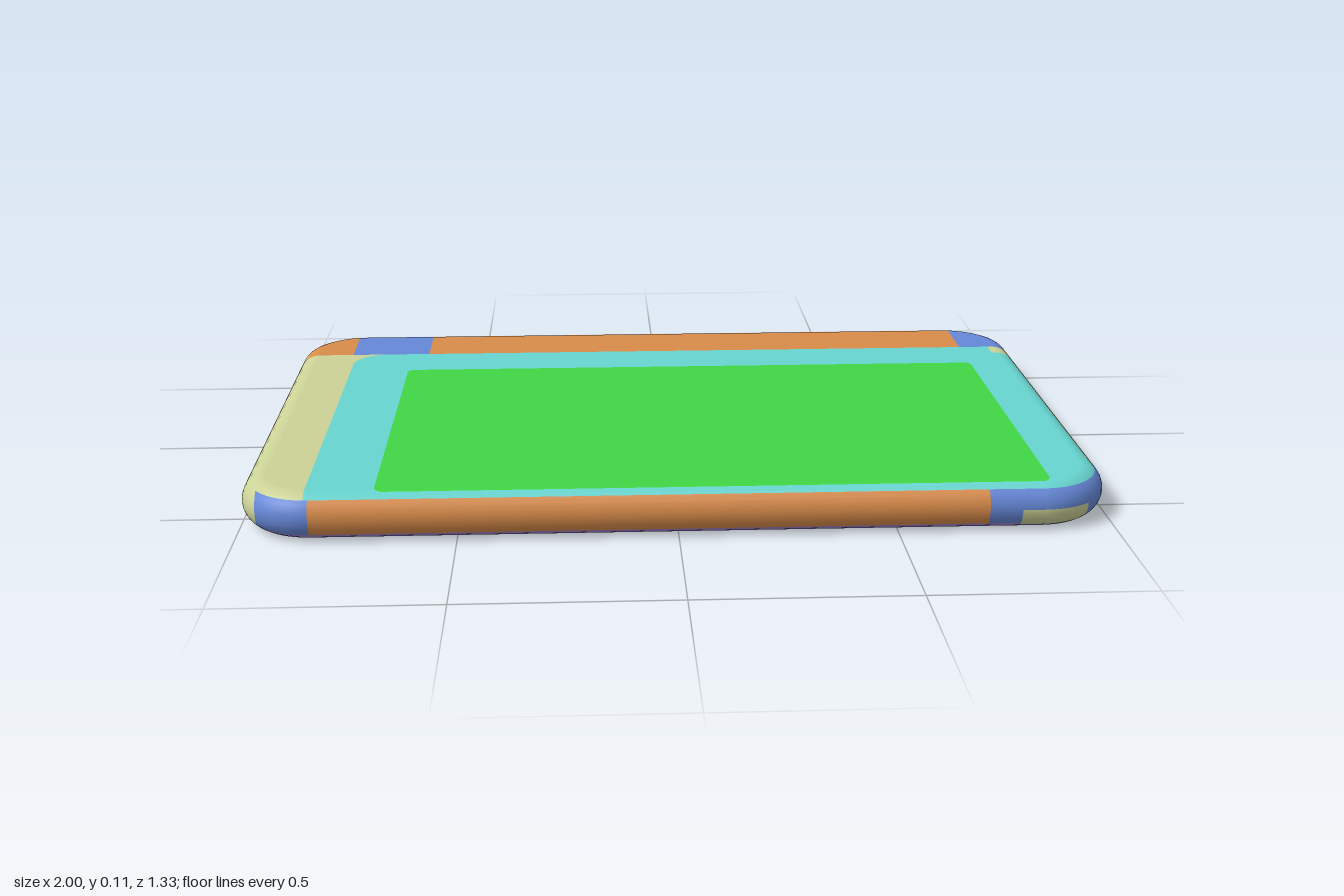
import * as THREE from 'three';

const HALF_X = 1, HALF_Z = 0.665, T = 0.112, r = T / 2; // slab size, rounded edge radius
const CORNER = 0.17;                                    // plan corner radius
const BIG = 2;

const mat = (name, color) => {
  const m = new THREE.MeshStandardMaterial({ color });
  m.name = name;
  return m;
};

// Outline of a rounded rectangle in x,z
function roundedRect(x0, x1, z0, z1, rad, n) {
  const pts = [];
  const corners = [[x1 - rad, z1 - rad], [x0 + rad, z1 - rad], [x0 + rad, z0 + rad], [x1 - rad, z0 + rad]];
  corners.forEach(([cx, cz], q) => {
    for (let i = 0; i <= n; i++) {
      const a = (q + i / n) * Math.PI / 2;
      pts.push({ cx, cz, dx: Math.cos(a), dz: Math.sin(a), x: cx + rad * Math.cos(a), z: cz + rad * Math.sin(a) });
    }
  });
  return pts;
}

// Planes [nx, ny, nz, d] bounding a colour zone; inside is n.p <= d
function zonePlanes([x0, x1, z0, z1, y0, y1], rad = 0) {
  const planes = [[1, 0, 0, x1], [-1, 0, 0, -x0], [0, 0, 1, z1], [0, 0, -1, -z0], [0, 1, 0, y1], [0, -1, 0, -y0]];
  if (rad) for (const p of roundedRect(x0, x1, z0, z1, rad, 8)) {
    planes.push([p.dx, 0, p.dz, p.dx * p.x + p.dz * p.z]);
  }
  return planes;
}

// Cut a convex polygon by a plane into [inside, outside]
function split(poly, [a, b, c, d]) {
  const inside = [], outside = [];
  const dist = poly.map(p => a * p.x + b * p.y + c * p.z - d);
  poly.forEach((p, i) => {
    const j = (i + 1) % poly.length;
    if (dist[i] <= 1e-7) inside.push(p);
    if (dist[i] >= -1e-7) outside.push(p);
    if ((dist[i] < -1e-7 && dist[j] > 1e-7) || (dist[i] > 1e-7 && dist[j] < -1e-7)) {
      const m = p.clone().lerp(poly[j], dist[i] / (dist[i] - dist[j]));
      inside.push(m);
      outside.push(m);
    }
  });
  const keep = (list, sign) => (list.length > 2 && dist.some(v => v * sign > 1e-7) ? list : null);
  return [keep(inside, -1) || (dist.every(v => Math.abs(v) <= 1e-7) ? poly : null), keep(outside, 1)];
}

// Smooth normal of the rounded slab at a point
function normalAt(p) {
  const ix = HALF_X - CORNER, iz = HALF_Z - CORNER;
  const qx = p.x - THREE.MathUtils.clamp(p.x, -ix, ix), qz = p.z - THREE.MathUtils.clamp(p.z, -iz, iz);
  const len = Math.hypot(qx, qz), out = Math.max(0, len - (CORNER - r));
  const k = len > 0 ? out / len : 0;
  return new THREE.Vector3(qx * k, p.y - r, qz * k).normalize();
}

// Convex faces of the slab: rounded rim bands and two flat caps
function slabFaces() {
  const loop = roundedRect(-HALF_X, HALF_X, -HALF_Z, HALF_Z, CORNER, 14);
  const steps = 14, faces = [], rings = [];
  for (let j = 0; j <= steps; j++) {
    const a = -Math.PI / 2 + Math.PI * j / steps;
    const rad = CORNER - r + r * Math.cos(a);
    rings.push(loop.map(p => new THREE.Vector3(p.cx + p.dx * rad, r + r * Math.sin(a), p.cz + p.dz * rad)));
  }
  for (let j = 0; j < steps; j++) loop.forEach((_, i) => {
    const k = (i + 1) % loop.length;
    faces.push([rings[j][i], rings[j + 1][i], rings[j + 1][k], rings[j][k]]);
  });
  faces.push(rings[0], rings[steps].slice().reverse());
  return faces;
}

function buildMesh(polys, name, material) {
  const pos = [], nor = [];
  for (const poly of polys) for (let i = 1; i < poly.length - 1; i++) {
    for (const p of [poly[0], poly[i], poly[i + 1]]) {
      pos.push(p.x, p.y, p.z);
      nor.push(...normalAt(p).toArray());
    }
  }
  const g = new THREE.BufferGeometry();
  g.setAttribute('position', new THREE.Float32BufferAttribute(pos, 3));
  g.setAttribute('normal', new THREE.Float32BufferAttribute(nor, 3));
  const mesh = new THREE.Mesh(g, material);
  mesh.name = name;
  return mesh;
}

export function createModel() {
  const green = mat('green', 0x40d645), cyan = mat('cyan', 0x68d5d0), khaki = mat('khaki', 0xcbd296);
  const orange = mat('orange', 0xd98c4a), blue = mat('blue', 0x6688d8);
  const maroon = mat('maroon', 0xc44688), purple = mat('purple', 0xa385d2);
  const LOW = 0.018, HIGH = 0.099;

  // Colour zones [x0, x1, z0, z1, y0, y1]; the first that holds a face wins
  const zones = [
    ['topPanel', green, [-0.685, 0.85, -0.295, 0.625, 0.1, BIG], 0.02],
    ['bottomPanel', maroon, [-0.85, 0.685, -0.4, 0.51, -BIG, 0.01], 0.01],
    // front corner spot
    ['frontCornerSpot', khaki, [0.78, 0.94, 0.6, BIG, 0.012, 0.055]],
    // underside bands
    ['bottomCornerBand', blue, [0.84, BIG, 0.37, BIG, -BIG, LOW]],
    ['bottomBorder', purple, [-BIG, 0.84, -0.495, BIG, -BIG, LOW], 0.08],
    ['bottomSideBand', khaki, [0.75, BIG, -BIG, 0.37, -BIG, LOW]],
    ['bottomBackBand', cyan, [-0.85, 0.75, -BIG, -0.4, -BIG, LOW]],
    ['bottomEdge', purple, [-BIG, BIG, -BIG, BIG, -BIG, LOW]],
    // right back corner
    ['backCornerSpot', khaki, [-0.95, -0.83, -BIG, -0.57, LOW, 0.092]],
    ['backRimMark', blue, [-0.83, -0.74, -BIG, -0.57, LOW, HIGH]],
    // top face
    ['topSideSpot', khaki, [0.93, BIG, -0.445, -0.385, 0.097, BIG]],
    ['topBackMark', blue, [-0.85, -0.64, -0.65, -0.445, 0.06, BIG]],
    ['topBackCorner', blue, [0.85, BIG, -BIG, -0.445, 0.097, BIG]],
    ['topBackStrip', orange, [-BIG, 0.85, -BIG, -0.445, HIGH, BIG]],
    ['topBorder', cyan, [-0.84, BIG, -0.445, BIG, HIGH, BIG], 0.09],
    ['topSideStrip', khaki, [-BIG, BIG, -BIG, BIG, HIGH, BIG]],
    // rim
    ['frontLeftRim', blue, [0.705, BIG, 0.49, BIG, LOW, HIGH]],
    ['frontRightRim', blue, [-0.955, -0.83, 0.49, BIG, LOW, HIGH]],
    ['frontRim', orange, [-0.83, 0.705, 0.49, BIG, LOW, HIGH]],
    ['backLeftRim', blue, [0.78, BIG, -BIG, -0.62, LOW, HIGH]],
    ['leftRim', orange, [0.8, BIG, -0.62, 0.49, LOW, HIGH]],
    ['rightRimMark', blue, [-BIG, -0.8, -0.23, -0.155, LOW, 0.09]],
    ['rightBackRim', orange, [-BIG, -0.8, -BIG, -0.23, LOW, 0.092]],
    ['backRim', orange, [-0.8, 0.8, -BIG, 0, LOW, HIGH]],
    ['rightRim', khaki, [-BIG, BIG, -BIG, BIG, -BIG, BIG]],
  ];

  const group = new THREE.Group();
  group.name = 'roundedSlab';
  let rest = slabFaces();
  for (const [name, material, box, rad] of zones) {
    const planes = zonePlanes(box, rad), painted = [], next = [];
    for (const face of rest) {
      let piece = face;
      const cut = [];
      for (const plane of planes) {
        const [inside, outside] = split(piece, plane);
        if (outside) cut.push(outside);
        piece = inside;
        if (!piece) break;
      }
      if (piece) { painted.push(piece); next.push(...cut); } else next.push(face);
    }
    if (painted.length) group.add(buildMesh(painted, name, material));
    rest = next;
  }
  return group;
}
